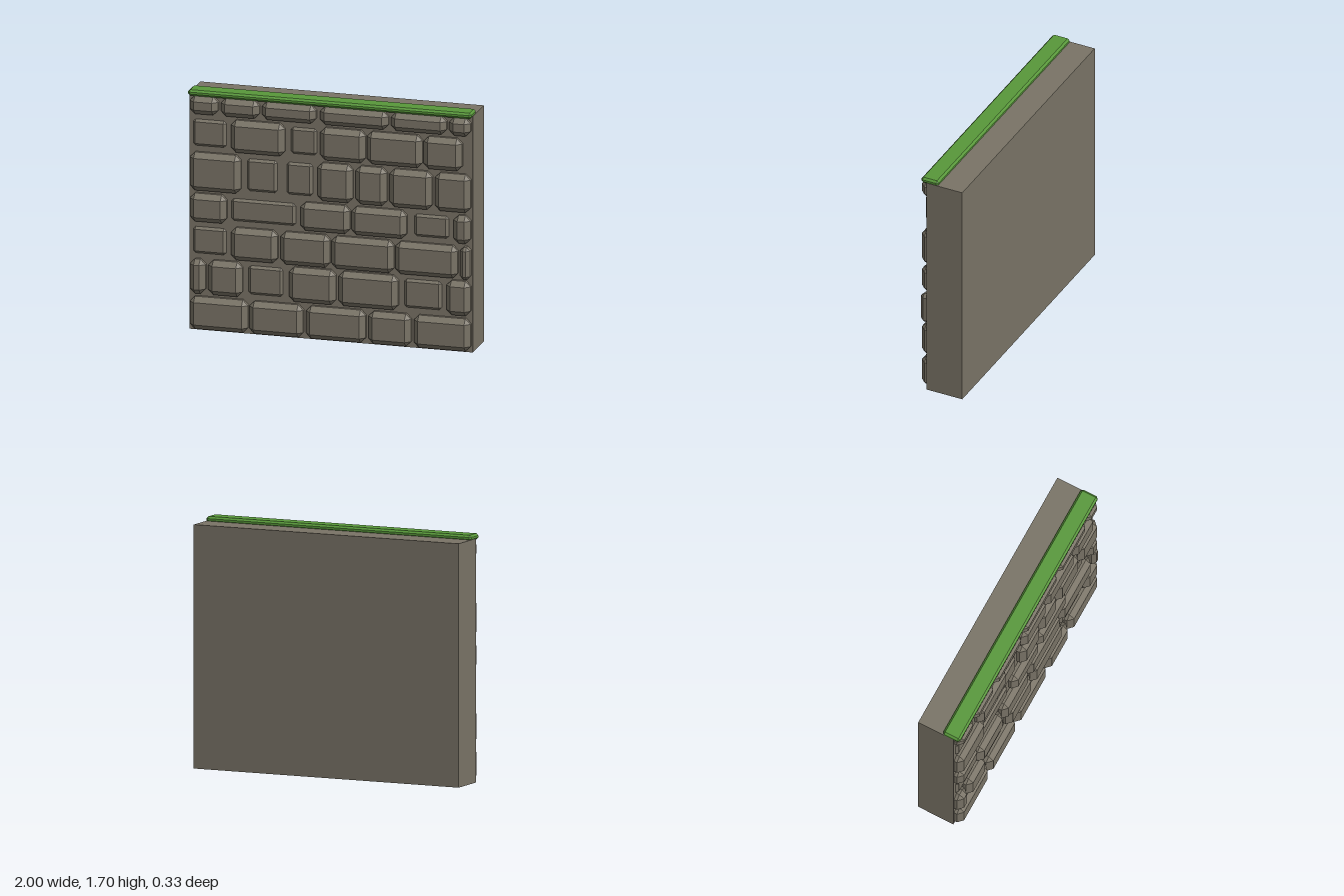
import * as THREE from 'three';
import { ConvexGeometry } from 'three/addons/geometries/ConvexGeometry.js';

const stone = new THREE.MeshStandardMaterial({ name: 'stone', color: 0x797366 });
const moss = new THREE.MeshStandardMaterial({ name: 'mossGreen', color: 0x58983a });

// Box with every edge and corner cut off at 45 degrees
function chamferBox(w, h, d, cut) {
  const c = Math.min(cut, 0.35 * Math.min(w, h, d));
  const x = w / 2, y = h / 2, z = d / 2;
  const points = [];
  for (const sx of [-1, 1]) for (const sy of [-1, 1]) for (const sz of [-1, 1]) {
    points.push(
      new THREE.Vector3(sx * x, sy * (y - c), sz * (z - c)),
      new THREE.Vector3(sx * (x - c), sy * y, sz * (z - c)),
      new THREE.Vector3(sx * (x - c), sy * (y - c), sz * z));
  }
  return new ConvexGeometry(points);
}

function add(parent, name, geometry, material, x, y, z) {
  const mesh = new THREE.Mesh(geometry, material);
  mesh.name = name;
  mesh.position.set(x, y, z);
  parent.add(mesh);
}

// Courses from the ground up: bottom, top, then stones as [left, right, sunken]
const courses = [
  [0.01, 0.24, [[-0.99, -0.58], [-0.57, -0.19], [-0.17, 0.25], [0.27, 0.57], [0.59, 0.99]]],
  [0.26, 0.505, [[-0.99, -0.88], [-0.86, -0.62], [-0.59, -0.33, 1], [-0.29, 0.04], [0.06, 0.48],
    [0.51, 0.79, 1], [0.82, 0.99]]],
  [0.52, 0.75, [[-0.98, -0.73, 1], [-0.70, -0.37], [-0.35, 0], [0.01, 0.45], [0.46, 0.90], [0.92, 0.99]]],
  [0.77, 0.97, [[-0.99, -0.73], [-0.71, -0.24, 1], [-0.21, 0.14], [0.15, 0.54], [0.58, 0.84, 1], [0.87, 0.99]]],
  [0.99, 1.26, [[-0.99, -0.63], [-0.60, -0.37, 1], [-0.32, -0.12, 1], [-0.09, 0.16], [0.18, 0.40],
    [0.42, 0.72], [0.74, 0.99]]],
  [1.28, 1.51, [[-0.98, -0.73, 1], [-0.70, -0.32], [-0.29, -0.09, 1], [-0.07, 0.25], [0.26, 0.65], [0.66, 0.93]]],
  [1.53, 1.66, [[-0.99, -0.79], [-0.77, -0.50], [-0.48, -0.10], [-0.07, 0.41], [0.43, 0.82], [0.84, 0.99]]],
];

export function createModel() {
  const wall = new THREE.Group();
  wall.name = 'stoneWall';

  // Plain slab behind the stones
  add(wall, 'wallSlab', new THREE.BoxGeometry(2, 1.67, 0.27), stone, 0, 0.835, -0.03);

  // Facing stones, half buried in the slab; sunken ones sit deeper
  const depth = 0.13;
  for (const [bottom, top, row] of courses) {
    const course = new THREE.Group();
    course.name = 'stoneCourse';
    for (const [left, right, sunken] of row) {
      const grow = sunken ? 0.02 : 0;
      const height = top - bottom - (sunken ? 0.025 : 0) + grow;
      const front = sunken ? 0.122 : 0.163;
      add(course, 'facingStone', chamferBox(right - left + grow, height, depth, 0.036), stone,
        (left + right) / 2, (bottom + top) / 2, front - depth / 2);
    }
    wall.add(course);
  }

  // Mossy coping strip along the front top edge
  add(wall, 'mossStrip', chamferBox(2, 0.042, 0.13, 0.014), moss, 0, 1.68, 0.085);

  return wall;
}
